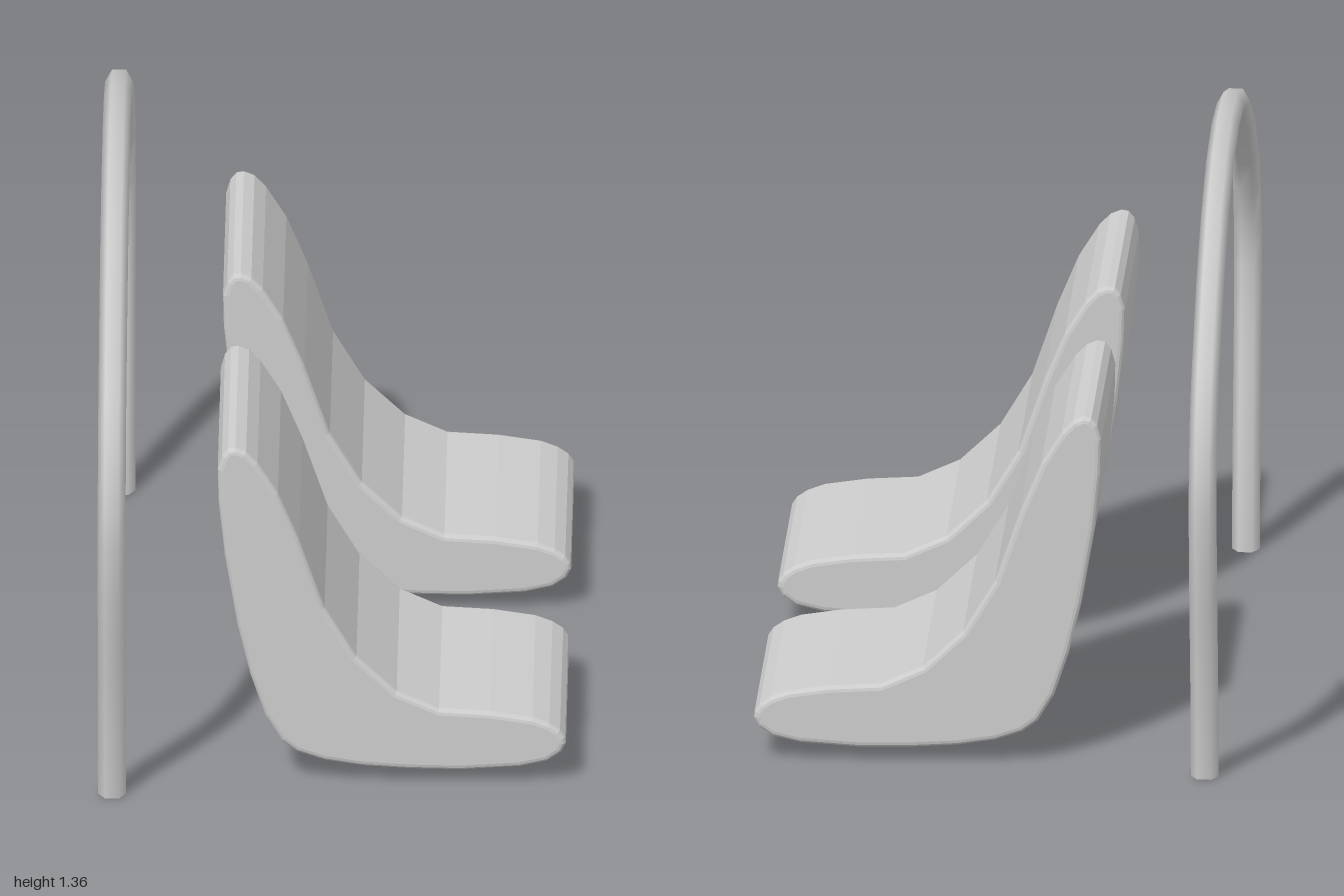
import * as THREE from 'three';

// Path that passes straight through its points, one tube ring per point
class Polyline extends THREE.Curve {
  constructor(points) {
    super();
    this.points = points;
  }
  getPoint(t, target = new THREE.Vector3()) {
    const n = this.points.length - 1;
    const i = Math.min(Math.floor(t * n + 1e-9), n - 1);
    return target.lerpVectors(this.points[i], this.points[i + 1], t * n - i);
  }
  getPointAt(u, target) { return this.getPoint(u, target); }
  getTangentAt(u, target) { return this.getTangent(u, target); }
}

// Seat side outline (x, y), from the backrest top down to the front lip and back underneath
const SEAT = [
  [-0.23, 0.86], [-0.205, 0.85], [-0.178, 0.822], [-0.13, 0.745], [-0.08, 0.625],
  [-0.02, 0.45], [0.055, 0.325], [0.15, 0.235], [0.25, 0.19], [0.37, 0.183],
  [0.47, 0.168], [0.51, 0.153], [0.535, 0.136], [0.547, 0.118], [0.549, 0.102],
  [0.538, 0.08], [0.505, 0.057], [0.44, 0.042], [0.3, 0.033], [0.18, 0.035],
  [0.07, 0.042], [-0.02, 0.056], [-0.085, 0.078], [-0.122, 0.106], [-0.16, 0.17],
  [-0.195, 0.275], [-0.225, 0.4], [-0.255, 0.58], [-0.27, 0.72], [-0.272, 0.805],
  [-0.262, 0.84], [-0.248, 0.857],
];

// Half of the hoop centreline (z, y), from the foot to just before the top
const HOOP = [
  [0.877, 0], [0.893, 0.2], [0.93, 0.4], [0.957, 0.55], [0.97, 0.68], [0.961, 0.775],
  [0.925, 0.89], [0.85, 0.985], [0.65, 1.14], [0.44, 1.25], [0.22, 1.312],
];
const HOOP_X = -0.52, HOOP_R = 0.033;

export function createModel() {
  const model = new THREE.Group();
  const grey = new THREE.MeshStandardMaterial({ color: 0xcccccc });
  grey.name = 'light grey';

  const add = (name, geometry, parent = model) => {
    const mesh = new THREE.Mesh(geometry, grey);
    mesh.name = name;
    parent.add(mesh);
    return mesh;
  };

  // Two bucket seats with softly rounded side edges
  const bevel = 0.014, width = 0.613;
  const seat = new THREE.ExtrudeGeometry(
    new THREE.Shape(SEAT.map(([x, y]) => new THREE.Vector2(x, y))),
    {
      depth: width - 2 * bevel, bevelThickness: bevel, bevelSize: bevel,
      bevelOffset: -bevel, bevelSegments: 3,
    },
  );
  seat.translate(0, 0, bevel - width / 2);
  add('leftSeat', seat).position.z = -0.504;
  add('rightSeat', seat).position.z = 0.504;

  // Roll hoop behind the seats
  const hoop = new THREE.Group();
  hoop.name = 'rollHoop';
  model.add(hoop);
  const half = HOOP.map(([z, y]) => new THREE.Vector3(HOOP_X, y, z));
  const mirrored = half.map((p) => new THREE.Vector3(p.x, p.y, -p.z)).reverse();
  const path = [...half, new THREE.Vector3(HOOP_X, 1.331, 0), ...mirrored];
  const tube = new THREE.TubeGeometry(new Polyline(path), path.length - 1, HOOP_R, 6);

  // Trim the feet level with the ground
  const pos = tube.attributes.position;
  for (let i = 0; i < pos.count; i++) {
    if (pos.getY(i) < 0.01) pos.setY(i, 0);
  }
  add('hoopTube', tube, hoop);

  // Flat ends under the feet
  const cap = new THREE.CircleGeometry(HOOP_R, 6).rotateX(Math.PI / 2);
  for (const side of [1, -1]) {
    add(side > 0 ? 'rightFootCap' : 'leftFootCap', cap, hoop)
      .position.set(HOOP_X, 0, side * HOOP[0][0]);
  }
  return model;
}
